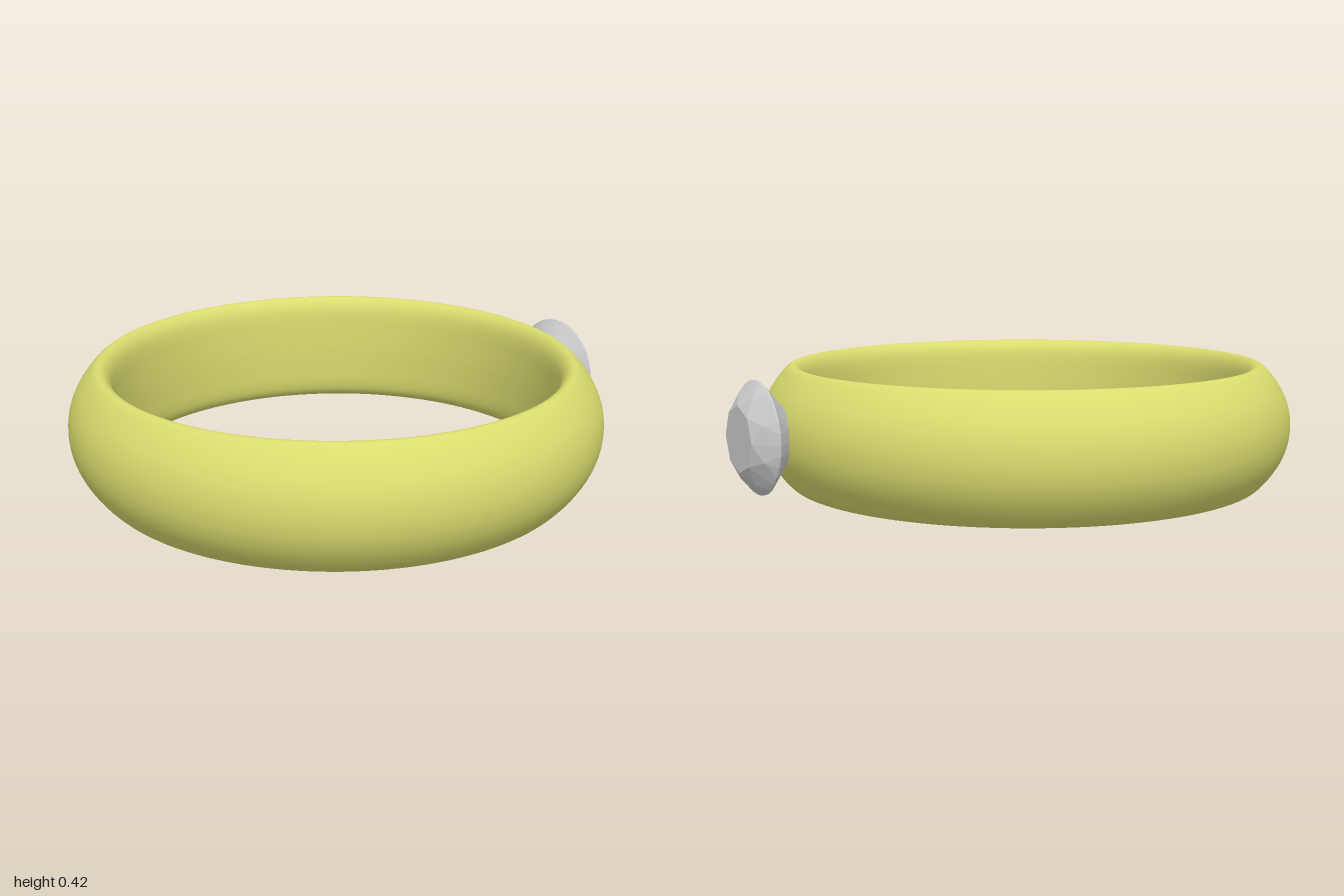
import * as THREE from 'three';
import { ConvexGeometry } from 'three/addons/geometries/ConvexGeometry.js';

const MID_Y = 0.215;

// Closed band section: domed outside, softly rounded rims, nearly straight inside
function makeBand() {
  const half = [[0.775, 0], [0.777, 0.08], [0.781, 0.145], [0.79, 0.18], [0.806, 0.202],
    [0.822, 0.21], [0.838, 0.208], [0.862, 0.187], [0.89, 0.152], [0.915, 0.11], [0.933, 0.06], [0.94, 0]];
  const upper = half.map(([r, y]) => new THREE.Vector3(r, y, 0));
  const lower = half.slice(1, -1).reverse().map(([r, y]) => new THREE.Vector3(r, -y, 0));
  const curve = new THREE.CatmullRomCurve3([...upper, ...lower], true);
  const profile = curve.getPoints(72).map((p) => new THREE.Vector2(p.x, p.y)).reverse();
  const band = new THREE.Mesh(
    new THREE.LatheGeometry(profile, 128),
    new THREE.MeshStandardMaterial({ color: 0xd9dc6e, side: THREE.DoubleSide }),
  );
  band.name = 'band';
  band.position.set(-0.06, 0.213, -0.003);
  return band;
}

// Brilliant-cut stone along +y, girdle at y = 0: hull of facet rings
function makeGem() {
  const points = [];
  const ring = (count, radius, y, turn = 0) => {
    for (let i = 0; i < count; i++) {
      const a = ((i + turn) / count) * Math.PI * 2;
      points.push(new THREE.Vector3(Math.cos(a) * radius, y, Math.sin(a) * radius));
    }
  };
  ring(8, 0.112, 0.065); // table
  ring(8, 0.155, 0.037, 0.5); // crown
  ring(32, 0.19, 0.003); // girdle
  ring(32, 0.19, -0.003);
  ring(8, 0.105, -0.078, 0.5); // pavilion
  points.push(new THREE.Vector3(0, -0.165, 0)); // culet
  const gem = new THREE.Mesh(
    new ConvexGeometry(points),
    new THREE.MeshStandardMaterial({ color: 0xcccccc, flatShading: true }),
  );
  gem.name = 'gem';
  gem.rotation.z = -Math.PI / 2;
  gem.position.set(0.935, MID_Y + 0.005, 0.085);
  return gem;
}

export function createModel() {
  const ring = new THREE.Group();
  ring.name = 'ring';
  ring.add(makeBand(), makeGem());
  return ring;
}
